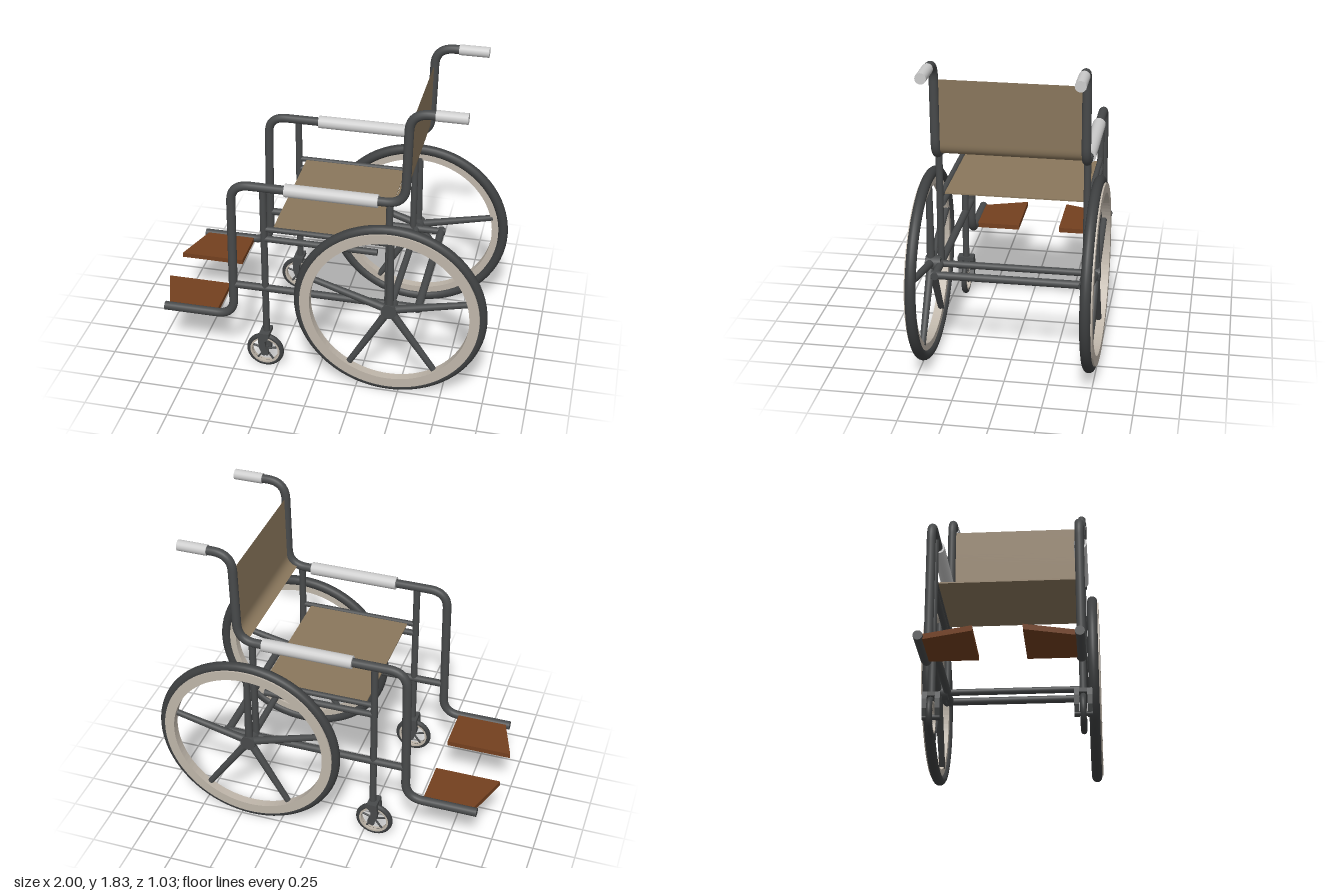
import * as THREE from 'three';

const mat = (color, side = THREE.FrontSide) => new THREE.MeshStandardMaterial({ color, side });
const steel = mat(0x484a4b), rubber = mat(0x3e4041), grey = mat(0xcccccc), rimMat = mat(0xbfb6aa);
const cloth = mat(0x8a775c, THREE.DoubleSide), wood = mat(0x74401f);
const V = (x, y, z = 0) => new THREE.Vector3(x, y, z);

function add(parent, name, geometry, material) {
  const mesh = new THREE.Mesh(geometry, material);
  mesh.name = name;
  parent.add(mesh);
  return mesh;
}

// straight round bar between two points
function bar(parent, name, a, b, radius, material = steel, endRadius = radius) {
  const dir = b.clone().sub(a);
  const mesh = add(parent, name, new THREE.CylinderGeometry(endRadius, radius, dir.length(), 20), material);
  mesh.position.copy(a).add(b).multiplyScalar(0.5);
  mesh.quaternion.setFromUnitVectors(V(0, 1), dir.normalize());
  return mesh;
}

// polyline with rounded corners
function roundedPath(points, radius) {
  const path = new THREE.CurvePath();
  let last = points[0];
  for (let i = 1; i < points.length - 1; i++) {
    const p = points[i];
    const before = p.clone().add(points[i - 1].clone().sub(p).setLength(radius));
    const after = p.clone().add(points[i + 1].clone().sub(p).setLength(radius));
    path.add(new THREE.LineCurve3(last, before));
    path.add(new THREE.QuadraticBezierCurve3(before, p, after));
    last = after;
  }
  path.add(new THREE.LineCurve3(last, points[points.length - 1]));
  return path;
}

// flat ring with a rectangular section, its axis along z
function ring(inner, outer, depth) {
  const h = depth / 2;
  const shape = new THREE.Shape().absarc(0, 0, outer, 0, Math.PI * 2);
  shape.holes.push(new THREE.Path().absarc(0, 0, inner, 0, Math.PI * 2, true));
  return new THREE.ExtrudeGeometry(shape, { depth, bevelEnabled: false, curveSegments: 48 }).translate(0, 0, -h);
}

function spokes(parent, angles, from, to, radius, endRadius) {
  for (const deg of angles) {
    const a = THREE.MathUtils.degToRad(deg);
    const d = V(Math.cos(a), Math.sin(a));
    bar(parent, 'spoke', d.clone().multiplyScalar(from), d.multiplyScalar(to), radius, steel, endRadius);
  }
}

function driveWheel() {
  const g = new THREE.Group();
  g.name = 'driveWheel';
  add(g, 'tyre', new THREE.TorusGeometry(0.53, 0.03, 16, 72), rubber);
  add(g, 'rim', ring(0.462, 0.52, 0.05), rimMat).position.z = 0.013;
  spokes(g, [13, 90, 162, 240, 305], 0, 0.475, 0.024, 0.018);
  bar(g, 'hub', V(0, 0, -0.06), V(0, 0, 0.028), 0.045);
  return g;
}

function caster() {
  const g = new THREE.Group();
  g.name = 'caster';
  add(g, 'casterTyre', new THREE.TorusGeometry(0.096, 0.017, 12, 40), rubber);
  add(g, 'casterRim', ring(0.079, 0.09, 0.032), rimMat);
  spokes(g, [18, 90, 162, 234, 306], 0, 0.083, 0.006, 0.006);
  bar(g, 'casterAxle', V(0, 0, -0.05), V(0, 0, 0.05), 0.014);
  // bent fork arms either side of the wheel, joined on top
  const arm = new THREE.Shape([[-0.025, 0.142], [0.035, 0.142], [0.035, 0.115], [0.01, 0.085], [0.01, 0.045],
    [0.028, 0.015], [0.028, -0.01], [-0.008, -0.01], [-0.03, 0.045], [-0.03, 0.1]]
    .map(([x, y]) => new THREE.Vector2(x, y)));
  for (const z of [-0.05, 0.022]) {
    add(g, 'forkArm', new THREE.ExtrudeGeometry(arm, { depth: 0.028, bevelEnabled: false }), steel).position.z = z;
  }
  add(g, 'forkCrown', new THREE.BoxGeometry(0.06, 0.024, 0.1), steel).position.set(0.005, 0.13, 0);
  return g;
}

// one side of the chair, built in its own plane; s = +1 or -1
function sideFrame(s) {
  const g = new THREE.Group();
  g.name = s > 0 ? 'sideFrameFrontward' : 'sideFrameRearward';
  g.position.z = s * 0.418;
  const path = roundedPath([V(-0.93, 0.345), V(-0.505, 0.345), V(-0.495, 1.24), V(0.5, 1.24),
    V(0.512, 1.803), V(0.8, 1.803)], 0.11);
  add(g, 'mainTube', new THREE.TubeGeometry(path, 160, 0.026, 16, false), steel);
  bar(g, 'tubeEnd', V(-0.932, 0.345), V(-0.92, 0.345), 0.026);
  bar(g, 'armrest', V(-0.18, 1.24), V(0.35, 1.24), 0.038, grey);
  bar(g, 'handGrip', V(0.65, 1.803), V(0.823, 1.803), 0.031, grey);
  bar(g, 'frontPost', V(-0.308, 1.24), V(-0.308, 0.25), 0.02);
  bar(g, 'rearPost', V(0.415, 1.24), V(0.415, 0.565), 0.02);
  bar(g, 'seatRail', V(-0.308, 0.97), V(0.415, 0.97), 0.016);
  bar(g, 'underSeatRail', V(-0.308, 0.905), V(0.35, 0.905), 0.019);
  bar(g, 'lowerRail', V(-0.495, 0.565), V(0.615, 0.565), 0.022);

  const wheel = driveWheel();
  wheel.position.set(0.437, 0.565, s * 0.057);
  if (s < 0) wheel.children.forEach((part) => { part.position.z *= -1; });
  g.add(wheel);

  const c = caster();
  c.position.set(-0.318, 0.123, 0);
  g.add(c);
  return g;
}

// trapezoid foot plate
function footPlate(s) {
  const shape = new THREE.Shape([[-0.61, 0.13], [-0.61, 0.41], [-0.905, 0.41], [-1, 0.13]]
    .map(([x, z]) => new THREE.Vector2(x, -s * z)));
  return new THREE.ExtrudeGeometry(shape, { depth: 0.03, bevelEnabled: false })
    .rotateX(-Math.PI / 2).translate(0, 0.33, 0);
}

export function createModel() {
  const model = new THREE.Group();
  model.name = 'wheelchair';
  for (const s of [-1, 1]) {
    model.add(sideFrame(s));
    add(model, 'footPlate', footPlate(s), wood);
  }
  // cross bars joining the two sides
  bar(model, 'axleBar', V(0.437, 0.565, -0.44), V(0.437, 0.565, 0.44), 0.02);
  bar(model, 'rearCrossBar', V(0.592, 0.565, -0.44), V(0.592, 0.565, 0.44), 0.023);

  // fabric seat
  add(model, 'seat', new THREE.BoxGeometry(0.615, 0.008, 0.81), cloth).position.set(0.05, 0.97, 0);

  // fabric back that curves forward at its lower edge, following the tube
  const curve = roundedPath([V(0.44, 1.25), V(0.501, 1.262), V(0.51, 1.7)], 0.06);
  const back = new THREE.PlaneGeometry(0.81, 1, 1, 40).rotateY(Math.PI / 2);
  const pos = back.attributes.position;
  for (let i = 0; i < pos.count; i++) {
    const p = curve.getPoint(pos.getY(i) + 0.5);
    pos.setXY(i, p.x, p.y);
  }
  back.computeVertexNormals();
  add(model, 'backrest', back, cloth);
  return model;
}
